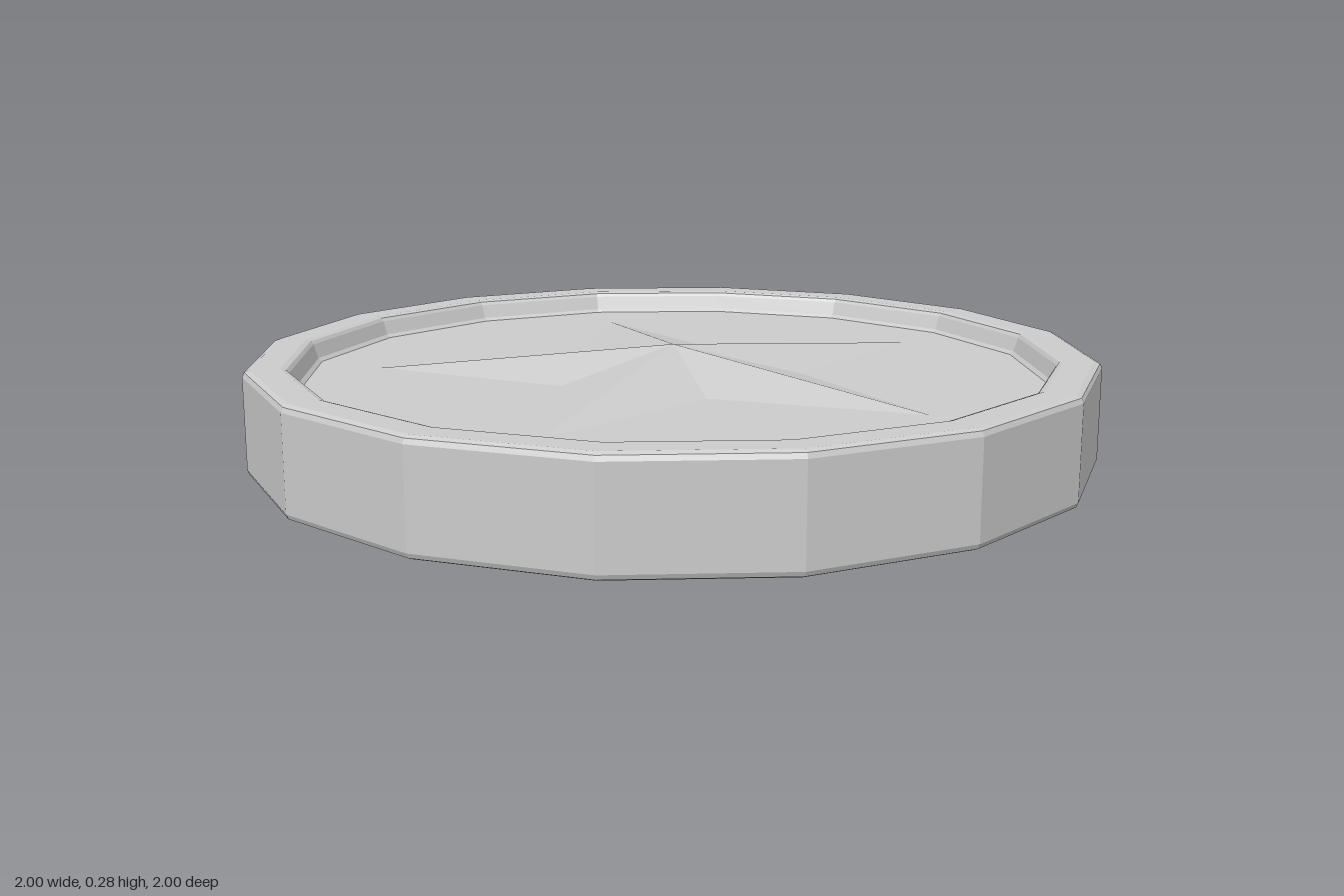
import * as THREE from 'three';

const MID = 0.1375; // height of the plane of symmetry
const FLOOR = 0.07; // half thickness at the recessed floor
const RIM = 0.124; // half thickness at the rim
const PEAK = 0.1375; // half thickness at the star's apex

const material = new THREE.MeshStandardMaterial({ color: 0xcccccc, flatShading: true });

// Sixteen-sided disc with bevelled rim and a recess on both faces
function makeDisc() {
  const upper = [
    [1, RIM - 0.016], [0.995, RIM - 0.005], [0.983, RIM],
    [0.915, RIM], [0.903, RIM - 0.004], [0.897, RIM - 0.012],
    [0.885, FLOOR + 0.008], [0.876, FLOOR], [0, FLOOR],
  ];
  const lower = upper.map(([r, y]) => [r, -y]).reverse();
  const profile = [...lower, ...upper].map(([r, y]) => new THREE.Vector2(r, y));
  return new THREE.LatheGeometry(profile, 16);
}

// Faceted five-pointed star rising from the floor; side is 1 for top, -1 for bottom
function makeStar(side) {
  const corner = (i) => {
    const r = i % 2 ? 0.305 : 0.71;
    const a = (i * Math.PI) / 5;
    return [r * Math.sin(a), side * FLOOR, -r * Math.cos(a)];
  };
  const positions = [];
  for (let i = 0; i < 10; i++) {
    const a = corner(i), b = corner(i + 1);
    positions.push(0, side * PEAK, 0, ...(side > 0 ? [...b, ...a] : [...a, ...b]));
  }
  const geometry = new THREE.BufferGeometry();
  geometry.setAttribute('position', new THREE.Float32BufferAttribute(positions, 3));
  geometry.computeVertexNormals();
  return geometry;
}

export function createModel() {
  const group = new THREE.Group();
  group.name = 'starCoin';
  const add = (name, geometry) => {
    const mesh = new THREE.Mesh(geometry, material);
    mesh.name = name;
    mesh.position.y = MID;
    group.add(mesh);
  };
  add('disc', makeDisc());
  add('topStar', makeStar(1));
  add('bottomStar', makeStar(-1));
  return group;
}
